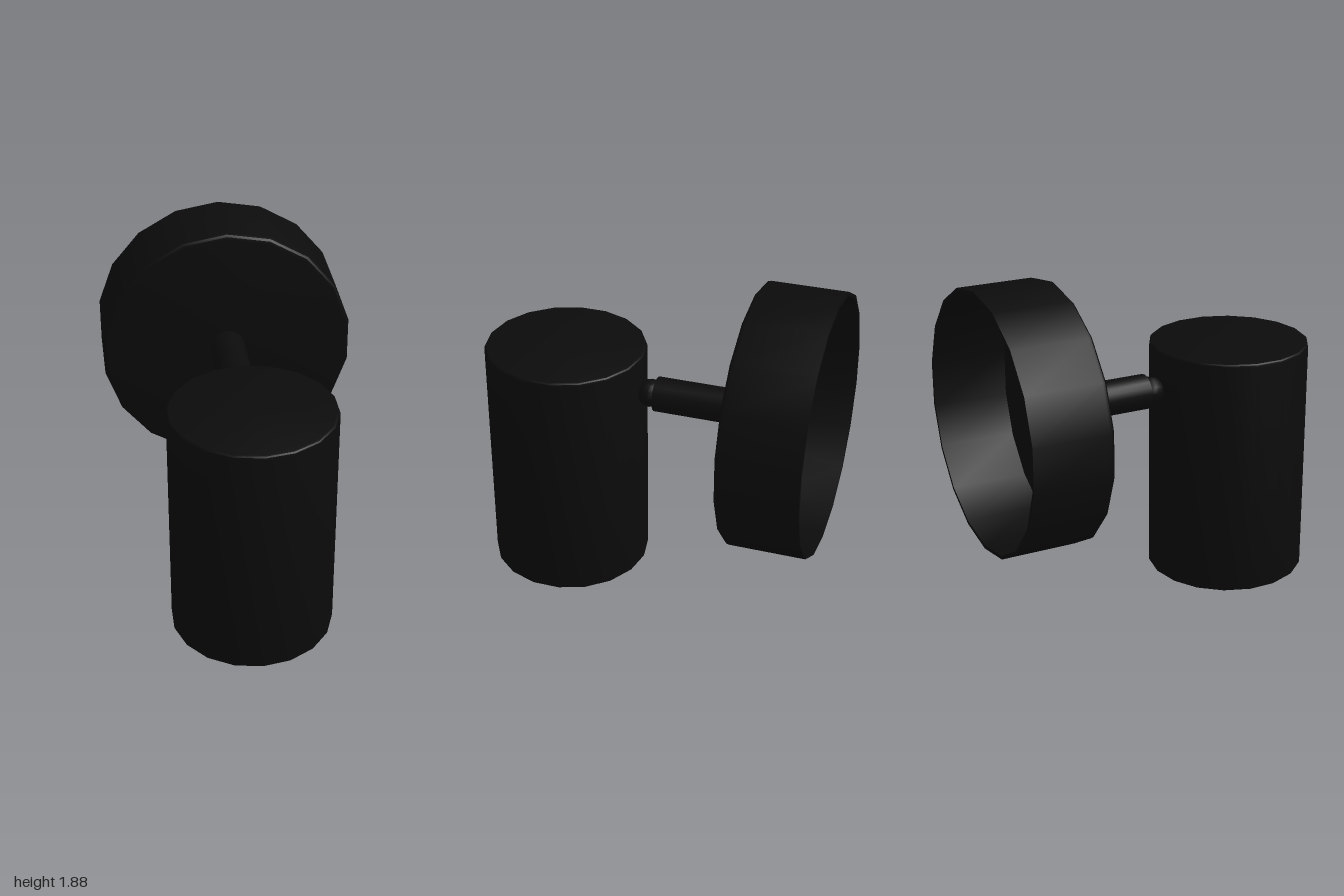
import * as THREE from 'three';
import { toCreasedNormals } from 'three/addons/utils/BufferGeometryUtils.js';

const SIDES = 18;
const black = new THREE.MeshStandardMaterial({ color: 0x0b0b0b });
const grey = new THREE.MeshStandardMaterial({ color: 0xcccccc });

// Quarter-round edge in a profile, from angle a0 to a0 + 90 degrees
function corner(cx, cy, r, a0, steps = 3) {
  return Array.from({ length: steps + 1 }, (_, i) => {
    const a = a0 + (i / steps) * Math.PI / 2;
    return [cx + r * Math.cos(a), cy + r * Math.sin(a)];
  });
}

// Turned part: the profile runs upward on the outside
function turned(name, profile, material, sides = SIDES) {
  const points = profile.map(([r, y]) => new THREE.Vector2(Math.max(r, 0), y));
  const geometry = toCreasedNormals(new THREE.LatheGeometry(points, sides), 0.5);
  const mesh = new THREE.Mesh(geometry, material);
  mesh.name = name;
  return mesh;
}

export function createModel() {
  const group = new THREE.Group();
  group.name = 'wallSpotlight';

  // Upright lamp housing with a recessed opening underneath
  const lamp = new THREE.Group();
  lamp.name = 'lampHead';
  lamp.position.z = 0.54;
  const R = 0.46, H = 1.39, b = 0.018;
  lamp.add(turned('housing', [
    [0.39, 0.03], [0.39, 0],
    ...corner(R - b, b, b, -Math.PI / 2),
    ...corner(R - b, H - b, b, 0),
    [0, H],
  ], black));
  lamp.add(turned('lightPanel', [[0, 0.02], [0.39, 0.02]], grey));
  group.add(lamp);

  // Wall cup, hollow and open at the back
  const P = 0.74, front = -0.54, e = 0.03;
  const cup = turned('wallPlate', [
    [0, front - 0.02], [P - 0.02, front - 0.02], [P - 0.02, -1], [P, -1],
    ...corner(P - e, front - e, e, 0),
    [0, front],
  ], black);
  cup.rotation.x = Math.PI / 2;
  cup.position.y = 1.14;
  group.add(cup);

  // Arm, its end just showing inside the wall cup
  const arm = turned('arm', [[0, -0.6], [0.1, -0.6], [0.1, 0], [0, 0]], black);
  arm.rotation.x = Math.PI / 2;
  arm.position.y = 1.16;
  group.add(arm);

  // Ball joint between arm and lamp
  const ball = new THREE.Mesh(new THREE.SphereGeometry(0.08, 12, 8), black);
  ball.name = 'ballJoint';
  ball.rotation.x = Math.PI / 2;
  ball.position.set(0, 1.16, 0.035);
  group.add(ball);

  return group;
}
